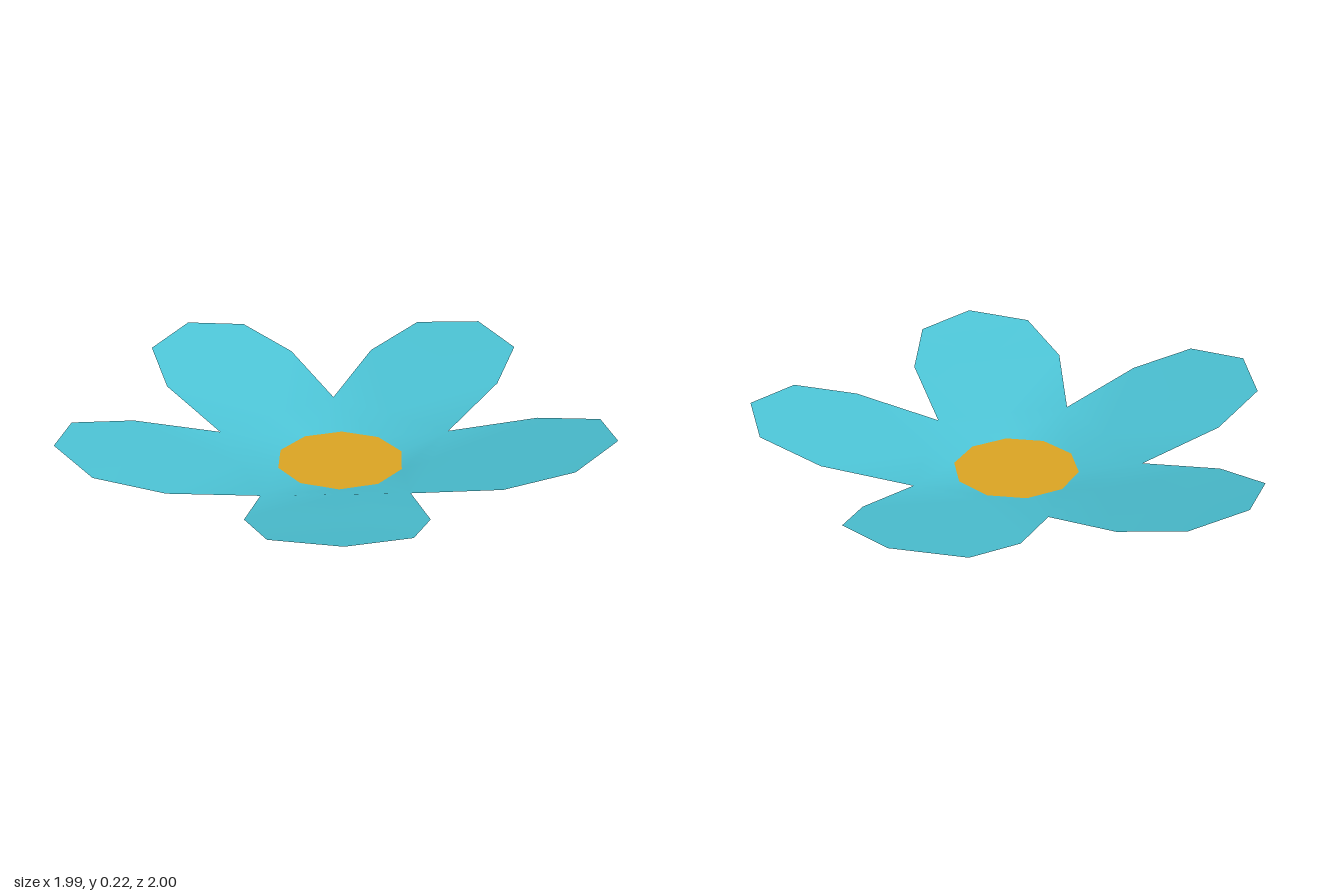
import * as THREE from 'three';

// Top outline [x, z] of each petal: starting valley, then five points round the tip
const PETALS = [
  [[0.30, -0.28], [0.63, -0.34], [0.88, -0.28], [0.99, -0.04], [0.90, 0.20], [0.67, 0.27]],
  [[0.33, 0.27], [0.49, 0.57], [0.505, 0.83], [0.33, 1.0], [0.07, 0.98], [-0.09, 0.79]],
  [[-0.18, 0.46], [-0.42, 0.715], [-0.65, 0.81], [-0.87, 0.70], [-0.95, 0.45], [-0.81, 0.225]],
  [[-0.53, 0.05], [-0.84, -0.11], [-1.0, -0.30], [-0.95, -0.55], [-0.74, -0.69], [-0.49, -0.625]],
  [[-0.23, -0.42], [-0.18, -0.75], [-0.04, -0.97], [0.21, -1.0], [0.395, -0.85], [0.41, -0.595]],
];
const HEIGHTS = [0.05, 0.135, 0.2, 0.228, 0.2, 0.135];
const CENTRE = { x: -0.052, z: 0.036, radius: 0.245 };

// Corner k of the ten-sided flower centre; odd corners point at valleys
function rimPoint(k) {
  const a = (k * Math.PI) / 5 - 0.02;
  return [CENTRE.x + CENTRE.radius * Math.cos(a), 0.003, CENTRE.z + CENTRE.radius * Math.sin(a)];
}

// All petals as one smooth sheet, joined at the valleys and the rim
function petalsGeometry() {
  const positions = [];
  const index = [];
  const add = (p) => positions.push(...p) / 3 - 1;
  const middle = (a, b) => add([0, 1, 2].map((i) => (positions[a * 3 + i] + positions[b * 3 + i]) / 2));

  const rim = Array.from({ length: 10 }, (_, k) => add(rimPoint(k)));
  const outline = PETALS.map((petal) => petal.map(([x, z], i) => add([x, HEIGHTS[i], z])));

  outline.forEach((o, p) => {
    const valley = outline[(p + 1) % 5][0];
    const rows = [
      [rim[(2 * p + 9) % 10], rim[2 * p], rim[2 * p + 1]],
      [o[0], middle(o[0], valley), valley],
      [o[1], middle(o[1], o[5]), o[5]],
      [o[2], o[3], o[4]],
    ];
    for (let r = 0; r < 3; r++) {
      for (let c = 0; c < 2; c++) {
        const [a, b] = [rows[r][c], rows[r][c + 1]];
        const [d, e] = [rows[r + 1][c], rows[r + 1][c + 1]];
        // Mirror the diagonal on the two halves of the petal
        if (c === 0) index.push(a, b, d, b, e, d);
        else index.push(a, b, e, a, e, d);
      }
    }
  });

  const geometry = new THREE.BufferGeometry();
  geometry.setAttribute('position', new THREE.Float32BufferAttribute(positions, 3));
  geometry.setIndex(index);
  geometry.computeVertexNormals();
  return geometry;
}

export function createModel() {
  const petalTeal = new THREE.MeshStandardMaterial({ color: 0x4cc3d5, side: THREE.DoubleSide });
  petalTeal.name = 'petalTeal';
  const centreGold = new THREE.MeshStandardMaterial({ color: 0xdca523, side: THREE.DoubleSide });
  centreGold.name = 'centreGold';

  const flower = new THREE.Group();
  flower.name = 'flower';

  const petals = new THREE.Mesh(petalsGeometry(), petalTeal);
  petals.name = 'petals';

  // Flat ten-sided disc filling the hole in the petals
  const centre = new THREE.Mesh(new THREE.CircleGeometry(CENTRE.radius, 10), centreGold);
  centre.name = 'flowerCentre';
  centre.rotation.set(-Math.PI / 2, 0, 0.02);
  centre.position.set(CENTRE.x, 0.003, CENTRE.z);

  flower.add(petals, centre);
  flower.position.y = -0.003;
  return flower;
}
